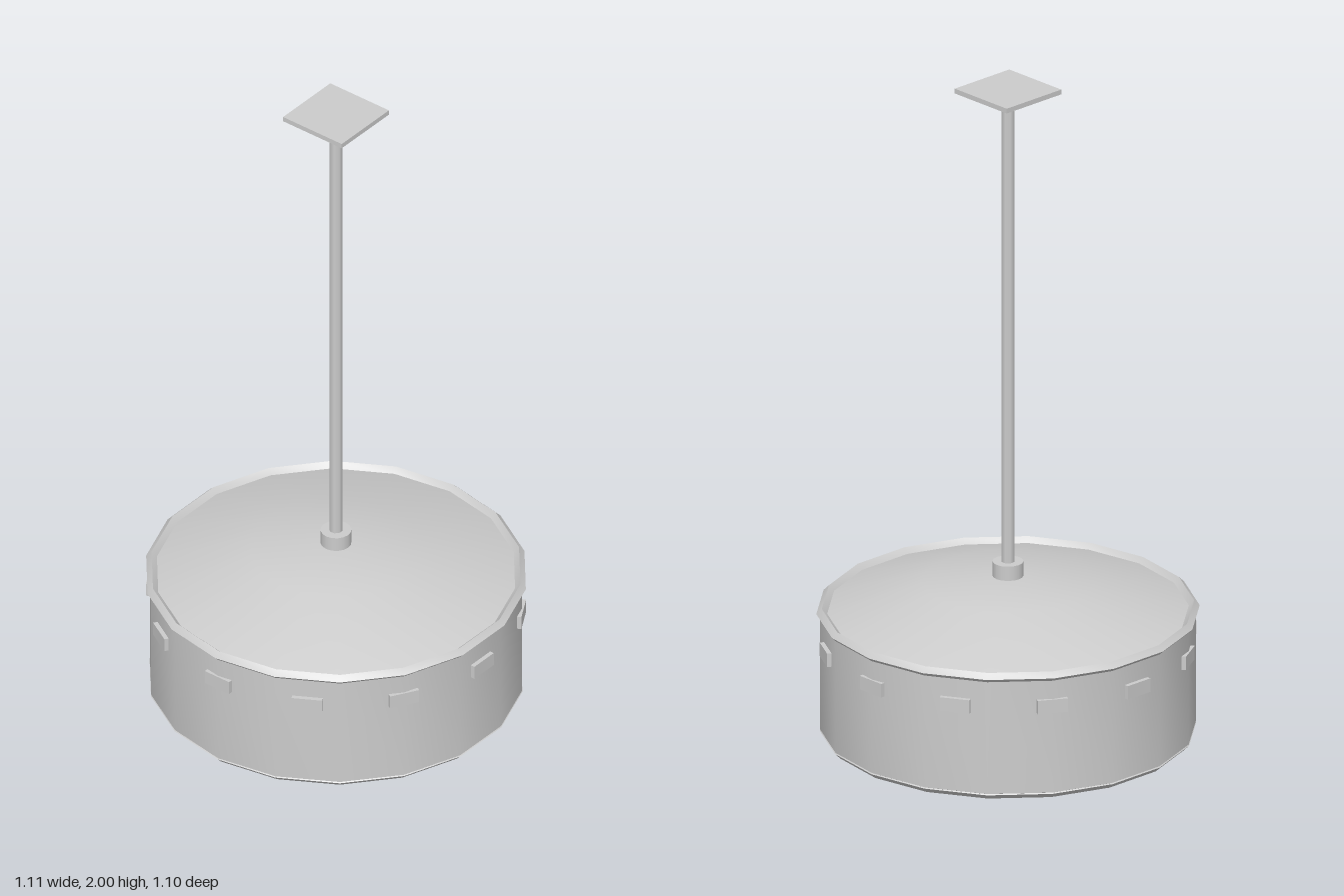
import * as THREE from 'three';
import { toCreasedNormals } from 'three/addons/utils/BufferGeometryUtils.js';

const SIDES = 18;
const TURN = THREE.MathUtils.degToRad(10); // puts a drum corner on the x axis

export function createModel() {
  const root = new THREE.Group();
  root.name = 'pendantLamp';
  const metal = new THREE.MeshStandardMaterial({ color: 0xcccccc });
  metal.name = 'light grey metal';

  const add = (name, geometry, x = 0, y = 0, z = 0, parent = root) => {
    const mesh = new THREE.Mesh(geometry, metal);
    mesh.name = name;
    mesh.position.set(x, y, z);
    parent.add(mesh);
    return mesh;
  };
  const lathe = (points, crease = 0.5) => toCreasedNormals(
    new THREE.LatheGeometry(points.map(([r, y]) => new THREE.Vector2(r, y)), SIDES, TURN), crease);

  // Drum shade with a closed underside
  add('drum', lathe([[0, 0.012], [0.53, 0.012], [0.545, 0.02], [0.545, 0.38]]));

  // Shallow domed lid
  add('dome', lathe([[0.535, 0.376], [0.25, 0.468], [0, 0.49]]));

  // Diamond-section rims around the top and bottom of the drum
  const rim = (name, radius, y, t) => add(name, lathe(
    [[radius, -t], [radius + t, 0], [radius, t], [radius - t, 0], [radius, -t]]), 0, y, 0);
  rim('topRim', 0.54, 0.379, 0.016);
  rim('bottomRim', 0.53, 0.016, 0.016);

  // Twelve small blocks around the drum
  const blocks = new THREE.Group();
  blocks.name = 'sideBlocks';
  root.add(blocks);
  const blockGeometry = new THREE.BoxGeometry(0.09, 0.042, 0.03);
  for (let i = 0; i < 12; i++) {
    const a = (i * Math.PI) / 6;
    const block = add('sideBlock', blockGeometry, 0.535 * Math.sin(a), 0.29, 0.535 * Math.cos(a), blocks);
    block.rotation.y = a;
  }

  // Collar and hanging rod
  add('collar', new THREE.CylinderGeometry(0.045, 0.045, 0.045, 16), 0, 0.508, 0);
  add('rod', new THREE.CylinderGeometry(0.02, 0.02, 1.5, 8, 1, false, Math.PI / 8), 0, 1.237, 0);

  // Hanging eye and ceiling plate
  add('eyeRing', new THREE.TorusGeometry(0.025, 0.004, 6, 16), 0, 1.957, 0);
  add('ceilingPlate', new THREE.BoxGeometry(0.218, 0.015, 0.218), 0, 1.9925, 0);

  // Screws under the plate corners
  const screwGeometry = new THREE.CylinderGeometry(0.013, 0.013, 0.012, 8);
  for (const x of [-0.065, 0.065]) {
    for (const z of [-0.065, 0.065]) add('screw', screwGeometry, x, 1.98, z);
  }
  return root;
}
